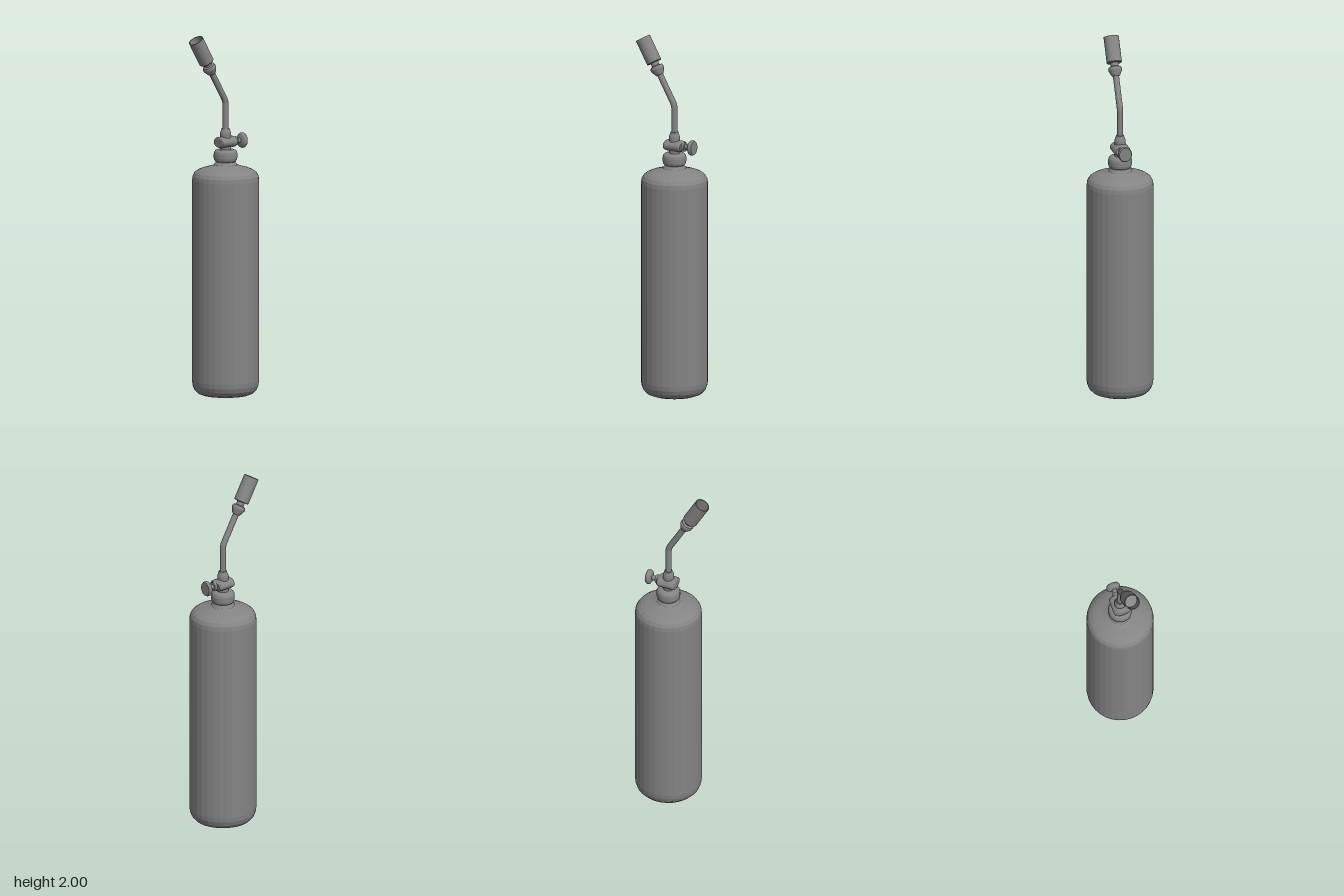
import * as THREE from 'three';

const AXIS_Z = -0.03; // the bottle's centre line
const BEND_Y = 1.626; // where the pipe tilts forward
const TILT = Math.PI / 6;

export function createModel() {
  const model = new THREE.Group();
  const material = new THREE.MeshStandardMaterial({ color: 0x848484, flatShading: true });

  const add = (parent, name, geometry) => {
    const mesh = new THREE.Mesh(geometry, material);
    mesh.name = name;
    parent.add(mesh);
    return mesh;
  };
  // Turned part from [radius, height] pairs, bottom to top
  const turned = (parent, name, profile, sides = 32) =>
    add(parent, name, new THREE.LatheGeometry(profile.map(([r, y]) => new THREE.Vector2(r, y)), sides));

  const torch = new THREE.Group();
  torch.name = 'torch';
  torch.position.z = AXIS_Z;
  model.add(torch);

  // Gas bottle with rounded base and shoulder
  turned(torch, 'gasBottle', [
    [0, 0], [0.125, 0], [0.152, 0.01], [0.172, 0.031], [0.181, 0.055], [0.184, 0.08],
    [0.184, 1.19], [0.181, 1.213], [0.17, 1.232], [0.152, 1.245], [0.13, 1.254],
    [0.09, 1.265], [0.065, 1.274], [0.05, 1.295], [0, 1.295],
  ]);

  // Rounded collar and the neck above it
  turned(torch, 'collar', [
    [0, 1.288], [0.045, 1.288], [0.055, 1.292], [0.062, 1.3], [0.065, 1.312], [0.065, 1.335],
    [0.062, 1.347], [0.055, 1.355], [0.045, 1.359], [0, 1.359],
  ]);
  turned(torch, 'neck', [[0.031, 1.35], [0.031, 1.39]]);

  // Pipe socket on top of the valve
  turned(torch, 'pipeSocket', [
    [0.03, 1.4], [0.031, 1.445], [0.028, 1.458], [0.024, 1.466], [0.022, 1.476], [0, 1.476],
  ]);

  // Valve, lying along the depth axis and pointing backward
  const valve = new THREE.Group();
  valve.name = 'valve';
  valve.position.y = 1.4;
  valve.rotation.x = -Math.PI / 2;
  torch.add(valve);
  const body = turned(valve, 'valveBody', [
    [0, -0.051], [0.036, -0.051], [0.043, -0.048], [0.047, -0.042], [0.048, -0.033], [0.048, 0.042],
    [0.046, 0.05], [0.038, 0.057], [0, 0.057],
  ]);
  body.scale.z = 0.64;
  const neck = turned(valve, 'valveNeck', [[0.024, 0.05], [0.021, 0.06], [0.021, 0.073], [0, 0.073]]);
  neck.scale.z = 1.2;
  turned(valve, 'valveStem', [[0.014, 0.06], [0.014, 0.105]]);
  const knob = turned(valve, 'valveKnob', [
    [0, 0.096], [0.015, 0.096], [0.028, 0.099], [0.035, 0.104], [0.038, 0.111], [0.038, 0.119],
    [0.034, 0.127], [0, 0.127],
  ]);
  knob.scale.z = 1.12;

  // Bent pipe
  const along = (t) => new THREE.Vector3(0, BEND_Y + t * Math.cos(TILT), t * Math.sin(TILT));
  const path = new THREE.CurvePath();
  const bendStart = new THREE.Vector3(0, BEND_Y - 0.022, 0);
  path.add(new THREE.LineCurve3(new THREE.Vector3(0, 1.45, 0), bendStart));
  path.add(new THREE.QuadraticBezierCurve3(bendStart, along(0), along(0.022)));
  path.add(new THREE.LineCurve3(along(0.022), along(0.23)));
  add(torch, 'pipe', new THREE.TubeGeometry(path, 48, 0.017, 20));

  // Burner head, tilted with the pipe
  const burner = new THREE.Group();
  burner.name = 'burner';
  burner.position.y = BEND_Y;
  burner.rotation.x = TILT;
  torch.add(burner);
  turned(burner, 'burnerCollar', [
    [0, 0.185], [0.02, 0.185], [0.025, 0.192], [0.037, 0.216], [0.038, 0.226],
    [0.034, 0.236], [0.022, 0.241], [0.022, 0.268],
  ]);
  // Open cup with an inner floor
  turned(burner, 'burnerCup', [
    [0, 0.26], [0.039, 0.26], [0.042, 0.264], [0.042, 0.408],
    [0.037, 0.408], [0.037, 0.338], [0, 0.338],
  ]);

  return model;
}
